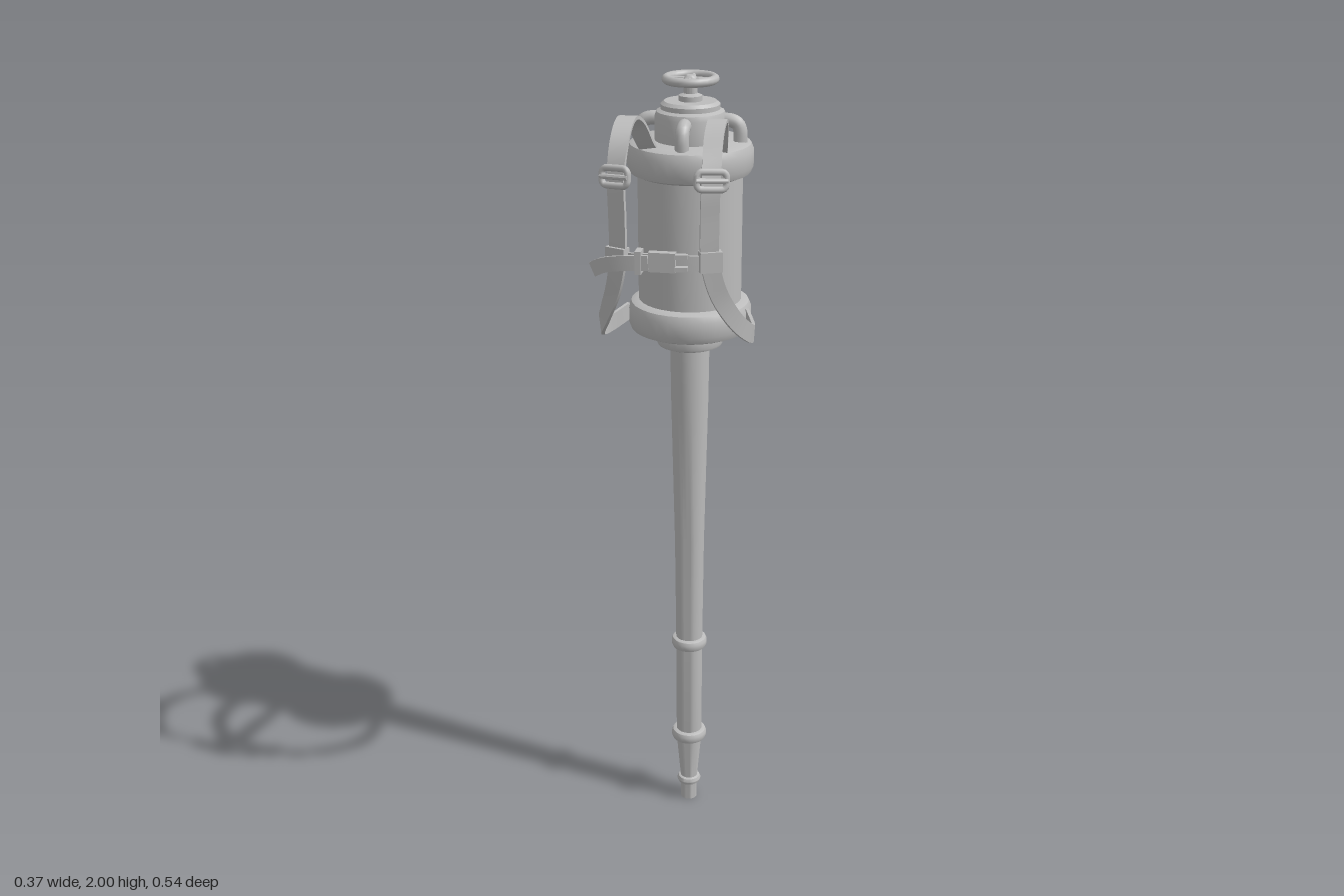
import * as THREE from 'three';
import { toCreasedNormals } from 'three/addons/utils/BufferGeometryUtils.js';

const V = (x, y, z) => new THREE.Vector3(x, y, z);
const grey = new THREE.MeshStandardMaterial({ color: 0xbcbcbc });
grey.name = 'plain grey';
const AXIS_Z = -0.12;

function add(parent, name, geometry, crease = 0.6) {
  const mesh = new THREE.Mesh(crease ? toCreasedNormals(geometry, crease) : geometry, grey);
  mesh.name = name;
  parent.add(mesh);
  return mesh;
}

// Lathe from [radius, y] pairs listed bottom to top
const lathe = (profile, sides = 24) =>
  new THREE.LatheGeometry(profile.map(([r, y]) => new THREE.Vector2(r, y)), sides);

// Rounded band profile between two heights
const band = (inner, outer, y0, y1, bevel) => [
  [inner, y0], [outer - bevel, y0], [outer - bevel * 0.3, y0 + bevel * 0.3], [outer, y0 + bevel],
  [outer, y1 - bevel], [outer - bevel * 0.3, y1 - bevel * 0.3], [outer - bevel, y1], [inner, y1],
];

// Flat webbing: each row is [x, y, z, widthX, widthY, widthZ]
function webbing(rows, width, thick, steps) {
  const path = new THREE.CatmullRomCurve3(rows.map(r => V(r[0], r[1], r[2])));
  const across = new THREE.CatmullRomCurve3(rows.map(r => V(r[3], r[4], r[5])), false, 'catmullrom');
  const pos = [], index = [];
  for (let i = 0; i <= steps; i++) {
    const t = i / steps, p = path.getPoint(t), tan = path.getTangent(t);
    const w = across.getPoint(t);
    w.addScaledVector(tan, -w.dot(tan)).normalize();
    const n = V(0, 0, 0).crossVectors(tan, w).normalize();
    for (const [a, b] of [[-1, -1], [1, -1], [1, 1], [-1, 1]]) {
      const q = p.clone().addScaledVector(w, a * width / 2).addScaledVector(n, b * thick / 2);
      pos.push(q.x, q.y, q.z);
    }
    if (i < steps) for (let k = 0; k < 4; k++) {
      const a = i * 4 + k, b = i * 4 + (k + 1) % 4;
      index.push(a, b, b + 4, a, b + 4, a + 4);
    }
  }
  const e = steps * 4;
  index.push(0, 2, 1, 0, 3, 2, e, e + 1, e + 2, e, e + 2, e + 3);
  const g = new THREE.BufferGeometry();
  g.setAttribute('position', new THREE.Float32BufferAttribute(pos, 3));
  g.setIndex(index);
  return g;
}

// Rounded rectangular ring lying in the XY plane
function frame(w, h, r) {
  const x = w / 2 - r, y = h / 2 - r, c = 0.008;
  const corners = [[x, y, 1, 1], [-x, y, -1, 1], [-x, -y, -1, -1], [x, -y, 1, -1]];
  const pts = [];
  corners.forEach(([cx, cy, sx, sy], i) => {
    const a = V(cx - sx * c, cy, 0), b = V(cx, cy - sy * c, 0);
    pts.push(...(i % 2 ? [a, b] : [b, a]));
  });
  const curve = new THREE.CatmullRomCurve3(pts, true, 'catmullrom', 0.2);
  return new THREE.TubeGeometry(curve, 40, r, 8, true);
}

function box(parent, name, w, h, d, x, y, z, ry = 0) {
  const m = add(parent, name, new THREE.BoxGeometry(w, h, d), 0);
  m.position.set(x, y, z);
  m.rotation.y = ry;
}

export function createModel() {
  const model = new THREE.Group();
  model.name = 'backpackSprayer';
  const sprayer = new THREE.Group();
  sprayer.name = 'sprayer';
  sprayer.position.z = AXIS_Z;
  model.add(sprayer);

  // Tank and its end bands
  add(sprayer, 'tank', lathe([[0, 1.42], [0.125, 1.42], [0.125, 1.82], [0, 1.82]], 32));
  add(sprayer, 'bottomBand', lathe(band(0, 0.15, 1.385, 1.465, 0.022), 32));
  add(sprayer, 'topBand', lathe(band(0, 0.15, 1.77, 1.85, 0.022), 32));
  add(sprayer, 'lowerCollar', lathe(band(0, 0.082, 1.345, 1.39, 0.008), 28));

  // Neck on top of the tank
  add(sprayer, 'neck', lathe([[0, 1.845], [0.084, 1.845], [0.084, 1.905], [0.08, 1.917],
    [0.07, 1.922], [0.07, 1.933], [0.062, 1.94], [0, 1.94]], 28));

  // Long tapering spout with an open tip
  add(sprayer, 'spout', lathe([[0, 0.04], [0.013, 0.04], [0.013, 0], [0.022, 0], [0.022, 0.06],
    [0.034, 0.2], [0.035, 0.5], [0.038, 0.8], [0.047, 1.2], [0.049, 1.36]], 24));
  for (const [y, r, h] of [[0.5, 0.047, 0.032], [0.21, 0.047, 0.032], [0.06, 0.032, 0.024]])
    add(sprayer, 'spoutRing', lathe(band(0.015, r, y - h / 2, y + h / 2, 0.011)));

  // Four bent pipes from the neck to the top band
  const bend = new THREE.CatmullRomCurve3([V(0.07, 1.897, 0), V(0.095, 1.897, 0),
    V(0.111, 1.89, 0), V(0.118, 1.873, 0), V(0.118, 1.84, 0)]);
  for (let i = 0; i < 4; i++) {
    const pipe = add(sprayer, 'bentPipe', new THREE.TubeGeometry(bend, 16, 0.0165, 12), 0);
    pipe.rotation.y = i * Math.PI / 2;
  }

  // Valve wheel
  const valve = new THREE.Group();
  valve.name = 'valve';
  sprayer.add(valve);
  add(valve, 'stem', lathe([[0.028, 1.935], [0.028, 1.952], [0.016, 1.957], [0.016, 1.992],
    [0.01, 1.998], [0, 1.998]], 16));
  const rim = add(valve, 'wheelRim', new THREE.TorusGeometry(0.057, 0.0105, 10, 24), 0);
  rim.rotation.x = Math.PI / 2;
  rim.position.y = 1.9895;
  for (let i = 0; i < 2; i++) {
    const spoke = add(valve, 'spoke', new THREE.CylinderGeometry(0.006, 0.006, 0.11, 8));
    spoke.rotation.set(i ? Math.PI / 2 : 0, 0, i ? 0 : Math.PI / 2);
    spoke.position.y = 1.9885;
  }

  const harness = new THREE.Group();
  harness.name = 'harness';
  model.add(harness);

  for (const s of [-1, 1]) {
    // Shoulder strap, twisting as it runs down and back to the tank
    const rows = [
      [0.08, 1.84, -0.03, 1, 0, 0], [0.086, 1.87, 0.005, 1, 0, 0], [0.094, 1.92, 0.055, 1, 0, 0],
      [0.1, 1.945, 0.12, 1, 0, 0], [0.102, 1.922, 0.185, 1, 0, 0], [0.104, 1.85, 0.232, 0.94, 0, -0.34],
      [0.102, 1.75, 0.236, 0.94, 0, -0.34], [0.103, 1.66, 0.232, 0.9, 0, -0.4],
      [0.118, 1.585, 0.212, 0.8, 0.15, -0.55], [0.15, 1.505, 0.16, 0.45, 0.6, -0.6],
      [0.176, 1.448, 0.08, 0.15, 0.95, -0.3], [0.17, 1.43, 0, 0, 1, 0], [0.146, 1.432, -0.085, 0, 1, 0],
    ].map(r => [s * r[0], r[1], r[2], s * r[3], r[4], r[5]]);
    add(harness, 'shoulderStrap', webbing(rows, 0.042, 0.008, 64), 0.7);

    // Adjuster buckle on the strap
    const buckle = new THREE.Group();
    buckle.name = 'shoulderBuckle';
    buckle.position.set(s * 0.106, 1.842, 0.238);
    buckle.rotation.set(-0.15, s * 0.36, 0);
    harness.add(buckle);
    add(buckle, 'buckleFrame', frame(0.08, 0.052, 0.0075), 0);
    const bar = add(buckle, 'buckleBar', new THREE.CylinderGeometry(0.006, 0.006, 0.07, 8));
    bar.rotation.z = Math.PI / 2;
    bar.position.z = 0.004;

    // Loop holding the chest strap
    box(harness, 'chestStrapLoop', 0.05, 0.046, 0.024, s * 0.104, 1.662, 0.233, s * 0.4);
  }

  // Chest strap with its loose end on the right
  const chest = [[-0.125, 1.655, 0.22], [-0.06, 1.658, 0.24], [0, 1.66, 0.244],
    [0.06, 1.658, 0.24], [0.125, 1.655, 0.22]].map(p => [...p, 0, 1, 0]);
  add(harness, 'chestStrap', webbing(chest, 0.034, 0.007, 24), 0.7);
  const loose = [[-0.16, 1.632, 0.235], [-0.135, 1.645, 0.243], [-0.09, 1.655, 0.254],
    [-0.03, 1.66, 0.259]].map(p => [...p, 0, 1, 0]);
  add(harness, 'looseStrapEnd', webbing(loose, 0.034, 0.007, 16), 0.7);

  // Chest clip
  box(harness, 'clipSlider', 0.014, 0.052, 0.034, -0.052, 1.66, 0.251);
  box(harness, 'clipBody', 0.06, 0.044, 0.018, 0, 1.662, 0.253);
  for (const dy of [-0.014, 0.014])
    box(harness, 'clipProng', 0.03, 0.01, 0.014, 0.042, 1.662 + dy, 0.254, 0.1);

  return model;
}
